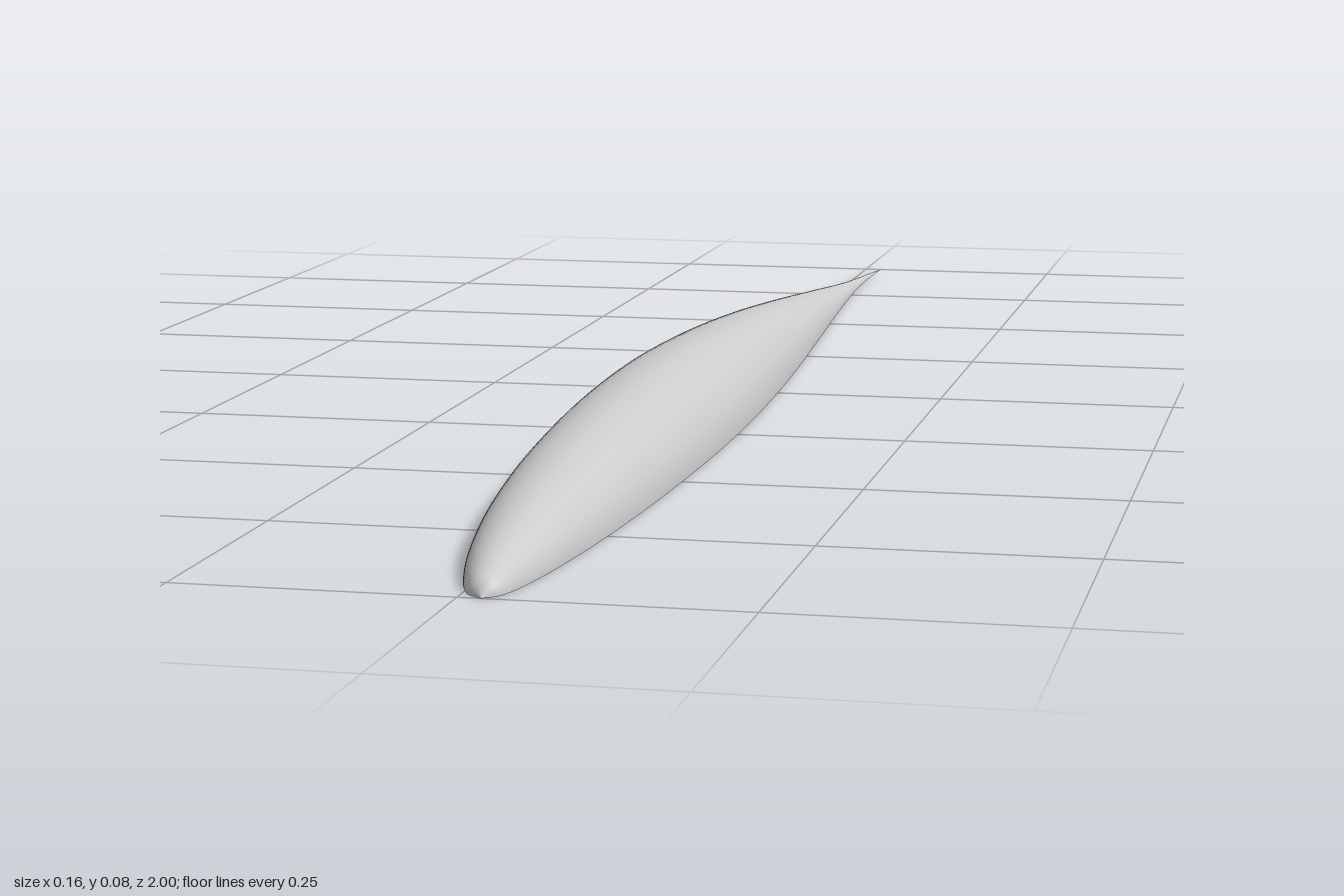
import * as THREE from 'three';

const LENGTH = 2;
const MAX_RADIUS = 0.078;
const CAMBER = 0.022;

// Laminar-flow thickness: [fraction of length from the nose, fraction of the maximum radius]
const THICKNESS = [
  [0, 0], [0.005, 0.161], [0.0125, 0.246], [0.025, 0.338], [0.05, 0.468],
  [0.1, 0.647], [0.15, 0.773], [0.2, 0.866], [0.3, 0.978], [0.4, 1],
  [0.5, 0.921], [0.6, 0.773], [0.7, 0.573], [0.8, 0.35], [0.9, 0.134], [1, 0],
];

// Sideways sag of the centre line: zero at both tips, greatest halfway
const xlogx = (s) => (s > 0 ? s * Math.log(s) : 0);
const camberAt = (s) => (-CAMBER * (xlogx(s) + xlogx(1 - s))) / Math.LN2;

export function createModel() {
  const group = new THREE.Group();
  group.name = 'halfBody';

  // Smooth radius profile, running from tail to nose
  const curve = new THREE.CatmullRomCurve3(
    THICKNESS.map(([s, r]) => new THREE.Vector3(r * MAX_RADIUS, LENGTH * (0.5 - s), 0)).reverse(),
    false, 'centripetal');
  const profile = curve.getPoints(120).map((p) => new THREE.Vector2(Math.max(p.x, 0), p.y));

  // Half revolution, open underneath, laid along z
  const shell = new THREE.LatheGeometry(profile, 48, Math.PI / 2, Math.PI);
  shell.rotateX(Math.PI / 2);

  // Bend the centre line sideways
  const pos = shell.attributes.position;
  for (let i = 0; i < pos.count; i++) {
    const s = THREE.MathUtils.clamp(0.5 - pos.getZ(i) / LENGTH, 0, 1);
    pos.setX(i, pos.getX(i) + 0.0208 - camberAt(s));
  }

  const mesh = new THREE.Mesh(shell,
    new THREE.MeshStandardMaterial({ color: 0xcccccc, side: THREE.DoubleSide }));
  mesh.name = 'shell';
  group.add(mesh);
  return group;
}
